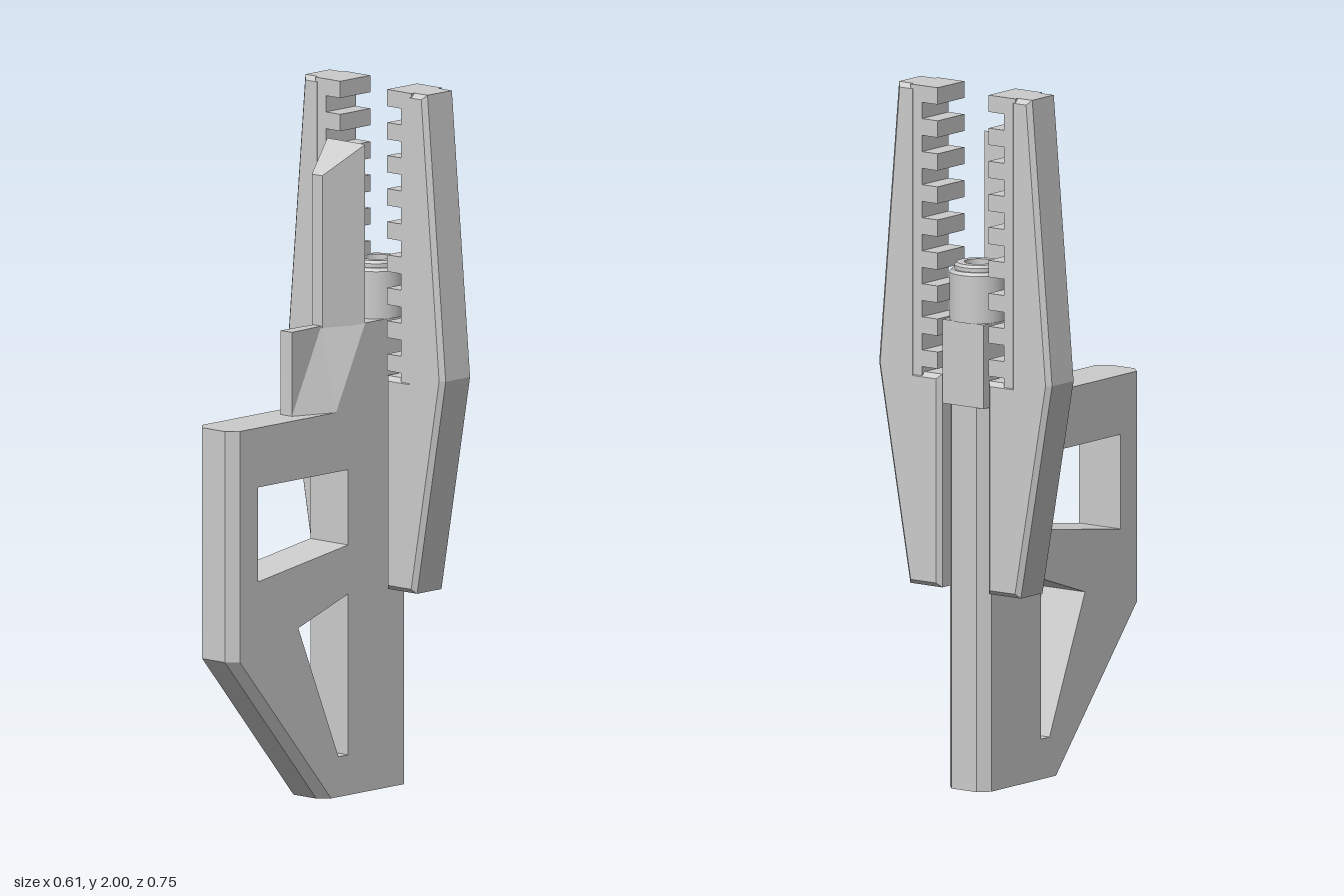
import * as THREE from 'three';

const material = new THREE.MeshStandardMaterial({ color: 0xcccccc, flatShading: true });
const smoothMaterial = new THREE.MeshStandardMaterial({ color: 0xcccccc });

function part(name, geometry, mat = material) {
  const mesh = new THREE.Mesh(geometry, mat);
  mesh.name = name;
  return mesh;
}

const toPoints = (list) => list.map(([x, y]) => new THREE.Vector2(x, y));

// Solid mirrored across x = 0, from its right-hand bottom and top edges, listed back to front.
function mirroredLoft(bottom, top) {
  const positions = [];
  const flip = ([x, y, z]) => [-x, y, z];
  const quad = (a, b, c, d) => positions.push(...a, ...b, ...c, ...a, ...c, ...d);
  for (let i = 0; i < bottom.length - 1; i++) {
    const [b0, b1, t0, t1] = [bottom[i], bottom[i + 1], top[i], top[i + 1]];
    quad(b1, b0, t0, t1);
    quad(flip(b1), flip(t1), flip(t0), flip(b0));
    quad(t0, flip(t0), flip(t1), t1);
    quad(b0, b1, flip(b1), flip(b0));
  }
  const n = bottom.length - 1;
  quad(flip(bottom[n]), bottom[n], top[n], flip(top[n]));
  quad(bottom[0], flip(bottom[0]), flip(top[0]), top[0]);
  const geometry = new THREE.BufferGeometry();
  geometry.setAttribute('position', new THREE.Float32BufferAttribute(positions, 3));
  geometry.computeVertexNormals();
  return geometry;
}

// Upright plate with two cut-outs, its front and back edges chamfered.
function makeGrip() {
  const half = 0.073, chamfer = 0.03;
  const shape = new THREE.Shape(toPoints([[-0.36, 0], [0, 0], [0.375, 0.44], [0.375, 1.1], [-0.36, 1.1]]));
  shape.holes.push(
    new THREE.Path(toPoints([[0.27, 0.93], [-0.1, 0.93], [-0.1, 0.715], [0.27, 0.66]])),
    new THREE.Path(toPoints([[-0.1, 0.575], [0.105, 0.505], [-0.06, 0.115], [-0.1, 0.115]])),
  );
  const geometry = new THREE.ExtrudeGeometry(shape, { depth: half * 2, steps: 5, bevelEnabled: false });
  geometry.rotateY(-Math.PI / 2).translate(half, 0, 0);
  // Draw in the outermost layers along the front and back
  const p = geometry.attributes.position;
  for (let i = 0; i < p.count; i++) {
    if (Math.abs(p.getX(i)) < half - 0.001) continue;
    const z = p.getZ(i);
    const front = Math.min(0.375, (p.getY(i) / 0.44) * 0.375);
    if (z < -0.359) p.setZ(i, z + chamfer);
    else if (Math.abs(z - front) < 0.001) p.setZ(i, z - chamfer);
  }
  geometry.computeVertexNormals();
  return part('gripPlate', geometry);
}

// Side arm with a toothed inner rack, centred on its own depth so it can be turned for the other side.
function makeArm(name) {
  const arm = new THREE.Group();
  arm.name = name;
  const depth = 0.126, bevel = 0.013;
  const outline = new THREE.Shape(toPoints([
    [0.082, 0.57], [0.195, 0.57], [0.305, 1.19], [0.235, 2], [0.165, 2], [0.165, 1.18], [0.082, 1.18],
  ]));
  const body = new THREE.ExtrudeGeometry(outline, {
    depth: depth - bevel * 2, bevelThickness: bevel, bevelSize: bevel, bevelOffset: -bevel, bevelSegments: 1,
  });
  body.translate(0, 0, bevel - depth / 2);
  arm.add(part('armBody', body));

  // Rack spine, then evenly spaced teeth as one outline
  const pitch = 0.0945, tooth = 0.048, inner = 0.09, root = 0.145;
  const profile = [[0.185, 1.17], [0.185, 2]];
  for (let i = 0; i < 9; i++) {
    const y = 2 - i * pitch;
    profile.push([root, y], [inner, y], [inner, y - tooth], [root, y - tooth]);
  }
  profile.push([root, 1.17]);
  const rack = new THREE.ExtrudeGeometry(new THREE.Shape(toPoints(profile)), { depth: depth - 0.002, bevelEnabled: false });
  rack.translate(0, 0, -depth / 2 + 0.001);
  arm.add(part('toothedRack', rack));
  arm.position.z = -0.303;
  return arm;
}

export function createModel() {
  const model = new THREE.Group();
  model.name = 'model';
  model.add(makeGrip());

  // Mount block with a tapering nose
  model.add(part('mountBlock', mirroredLoft(
    [[0.073, 1.1, -0.365], [0.073, 1.1, -0.17], [0.073, 1.1, -0.05], [0.022, 1.1, 0.077]],
    [[0.073, 1.34, -0.365], [0.073, 1.34, -0.17], [0.016, 1.34, -0.05], [0.022, 1.34, 0.077]],
  )));

  // Wedge-shaped fin with a sloping top
  model.add(part('fin', mirroredLoft(
    [[0.073, 1.335, -0.17], [0.02, 1.335, -0.05]],
    [[0.073, 1.85, -0.17], [0.02, 1.77, -0.05]],
  )));

  // Stepped, hollow muzzle; each profile corner is split so it stays sharp
  const profile = [[0, 1.34], [0.081, 1.34], [0.081, 1.475], [0.074, 1.484], [0.067, 1.484], [0.067, 1.495],
    [0.061, 1.503], [0.04, 1.503], [0.04, 1.4], [0, 1.4]];
  const muzzle = new THREE.Group();
  muzzle.name = 'muzzle';
  for (let i = 0; i < profile.length - 1; i++) {
    muzzle.add(part('muzzleBand', new THREE.LatheGeometry(toPoints(profile.slice(i, i + 2)), 48), smoothMaterial));
  }
  muzzle.position.z = -0.294;
  model.add(muzzle);

  // Matching arms on both sides
  const rightArm = makeArm('rightArm');
  rightArm.rotation.y = Math.PI;
  model.add(makeArm('leftArm'), rightArm);
  return model;
}
